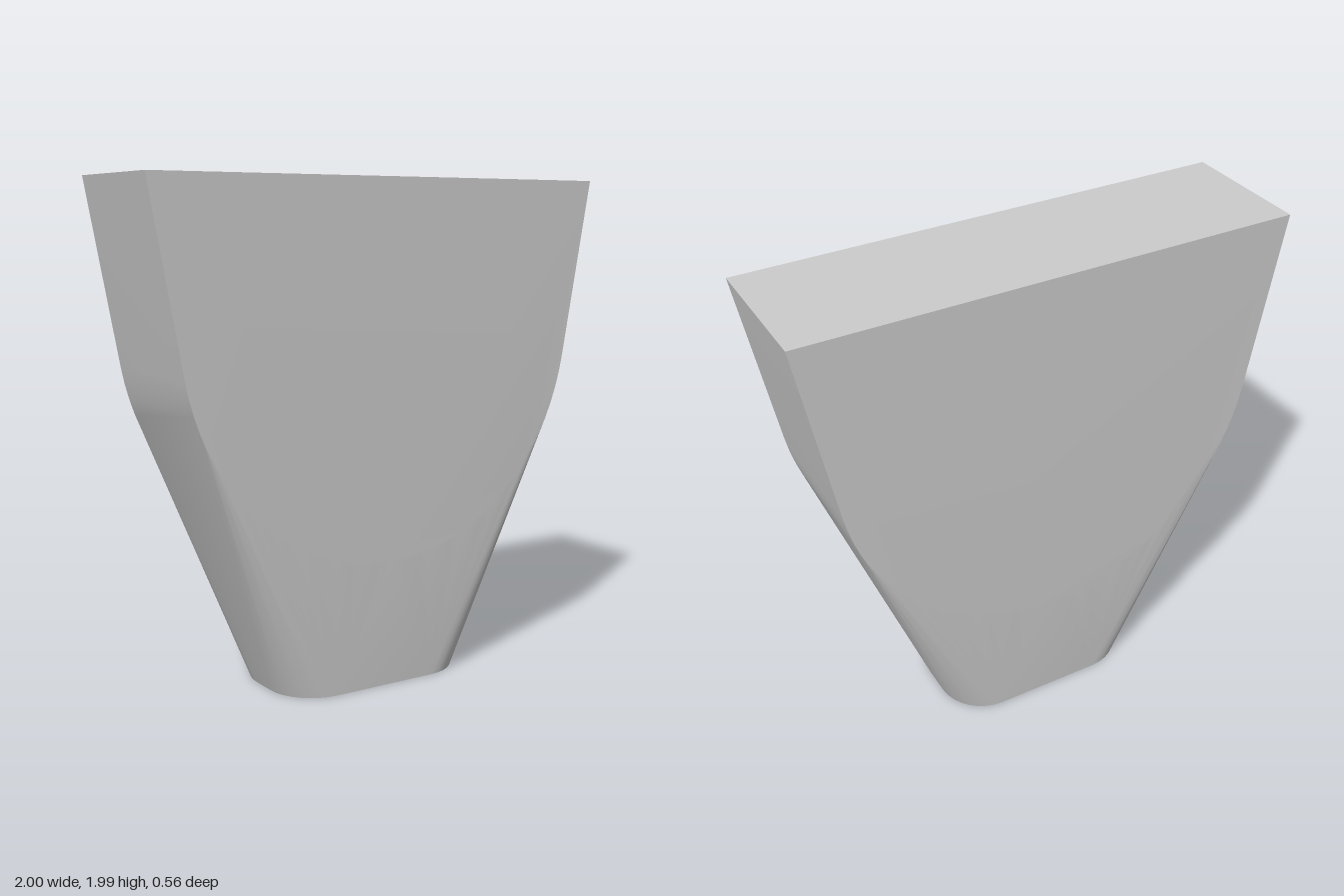
import * as THREE from 'three';
import { ConvexGeometry } from 'three/addons/geometries/ConvexGeometry.js';
import { toCreasedNormals } from 'three/addons/utils/BufferGeometryUtils.js';

const HEIGHT = 1.99;

// Upper slab: straight flared sides above an elliptical lower edge
function slabPoints(halfDepth) {
  const a = 0.885, b = 0.955, cy = 1.46, steps = 40;
  const start = Math.asin((1.27 - cy) / b);
  const outline = [[1, HEIGHT], [-1, HEIGHT]];
  for (let i = 0; i <= steps; i++) {
    const t = start + (-Math.PI - 2 * start) * (i / steps);
    outline.push([a * Math.cos(t), cy + b * Math.sin(t)]);
  }
  return outline.flatMap(([x, y]) => [-halfDepth, halfDepth].map((z) => new THREE.Vector3(x, y, z)));
}

// Foot: rounded rectangle on the ground
function footPoints(halfWidth, halfDepth, radius) {
  const points = [], steps = 8;
  for (const sx of [-1, 1]) for (const sz of [-1, 1]) {
    for (let i = 0; i <= steps; i++) {
      const t = (Math.PI / 2) * (i / steps);
      points.push(new THREE.Vector3(
        sx * (halfWidth - radius + radius * Math.cos(t)), 0,
        sz * (halfDepth - radius + radius * Math.sin(t))));
    }
  }
  return points;
}

export function createModel() {
  const group = new THREE.Group();
  group.name = 'taperedBlock';

  // Body: the convex skin between slab and foot
  const hull = new ConvexGeometry([...slabPoints(0.278), ...footPoints(0.415, 0.25, 0.19)]);
  const body = new THREE.Mesh(
    toCreasedNormals(hull, 0.4),
    new THREE.MeshStandardMaterial({ color: 0xcccccc }));
  body.name = 'body';
  group.add(body);
  return group;
}
